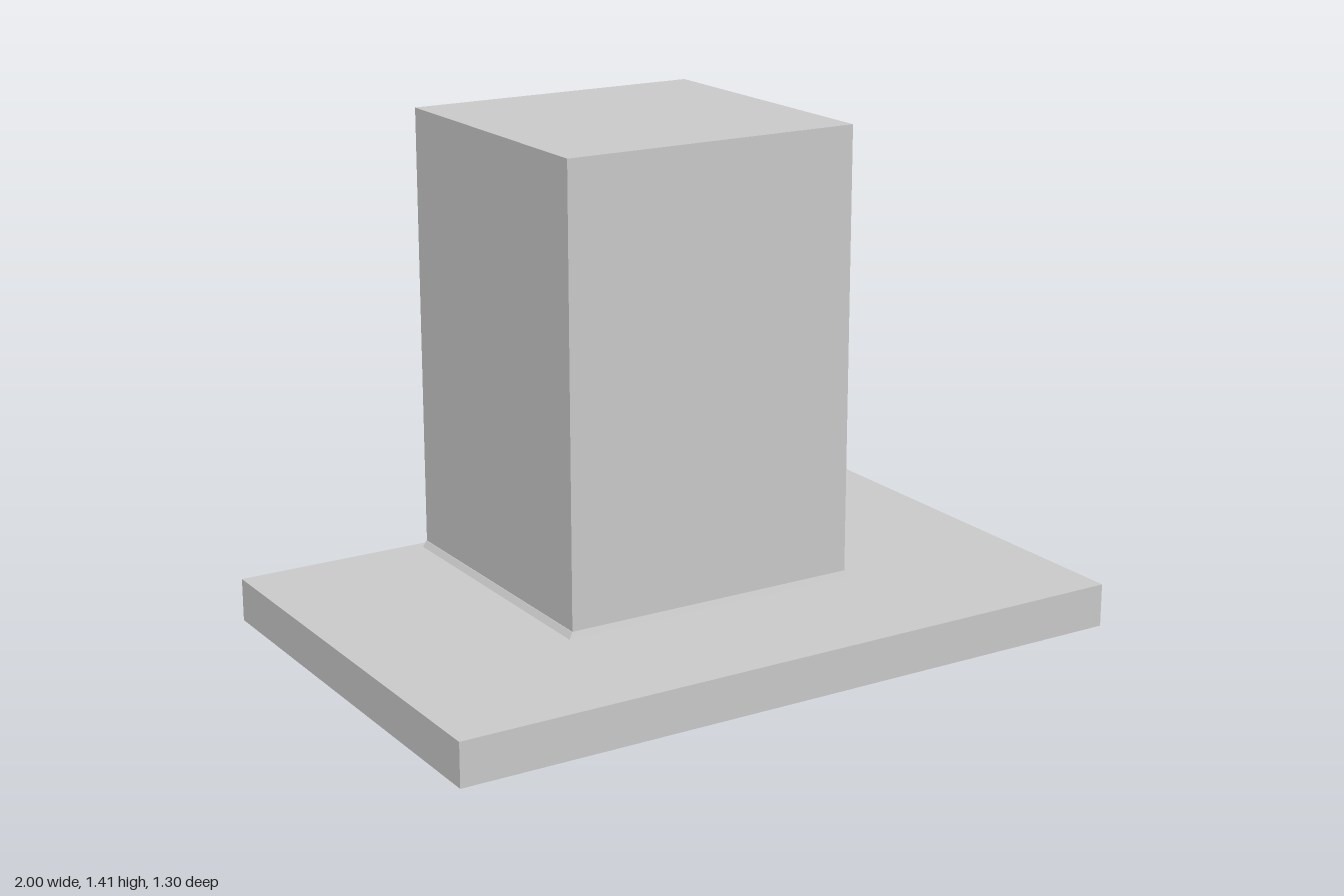
import * as THREE from 'three';

const grey = new THREE.MeshStandardMaterial({ color: 0xcccccc, flatShading: true });
const smooth = new THREE.MeshStandardMaterial({ color: 0xcccccc });

const rectPoints = (x0, x1, z0, z1) => [[x0, z0], [x1, z0], [x1, z1], [x0, z1]].map(([x, z]) => new THREE.Vector2(x, z));

function add(parent, name, geometry, material = grey) {
  const mesh = new THREE.Mesh(geometry, material);
  mesh.name = name;
  parent.add(mesh);
  return mesh;
}

// Box given by its limits on each axis
function block(parent, name, [x0, x1], [y0, y1], [z0, z1]) {
  const mesh = add(parent, name, new THREE.BoxGeometry(x1 - x0, y1 - y0, z1 - z0));
  mesh.position.set((x0 + x1) / 2, (y0 + y1) / 2, (z0 + z1) / 2);
  return mesh;
}

// Horizontal sheet with holes, between two heights
function sheet(parent, name, [x0, x1], [y0, y1], [z0, z1], holes) {
  const shape = new THREE.Shape(rectPoints(x0, x1, z0, z1));
  shape.holes.push(...holes);
  const geometry = new THREE.ExtrudeGeometry(shape, { depth: y1 - y0, bevelEnabled: false, curveSegments: 24 });
  geometry.rotateX(Math.PI / 2).translate(0, y1, 0);
  return add(parent, name, geometry);
}

const rectHole = (...limits) => new THREE.Path(rectPoints(...limits).reverse());

export function createModel() {
  const model = new THREE.Group();
  model.name = 'rangeHood';

  // Canopy slab with a lip around its underside
  block(model, 'canopy', [-1, 1], [0.022, 0.13], [-0.65, 0.65]);
  sheet(model, 'canopyLip', [-1, 1], [0.008, 0.022], [-0.65, 0.65], [rectHole(-0.97, 0.97, -0.62, 0.63)]);

  // Chimney and the sloping collar at its foot
  block(model, 'chimney', [-0.44, 0.434], [0.13, 1.406], [-0.62, 0.218]);
  const collar = new THREE.BoxGeometry(0.9, 0.017, 0.846);
  collar.translate(-0.003, 0.1385, -0.197);
  const p = collar.attributes.position;
  for (let i = 0; i < p.count; i++) {
    if (p.getY(i) < 0.14) continue;
    p.setX(i, p.getX(i) > 0 ? 0.436 : -0.442);
    if (p.getZ(i) > 0) p.setZ(i, 0.22);
  }
  collar.computeVertexNormals();
  add(model, 'chimneyCollar', collar);

  // Front light strip with three spotlights
  const lightX = [-0.57, 0, 0.57], lightZ = 0.49;
  const lightHoles = lightX.map((x) => new THREE.Path().absarc(x, lightZ, 0.04, 0, Math.PI * 2, true));
  sheet(model, 'lightStrip', [-0.965, 0.965], [0.01, 0.022], [0.33, 0.625], lightHoles);
  for (const x of lightX) {
    const light = new THREE.Group();
    light.name = 'spotlight';
    light.position.set(x, 0.011, lightZ);
    const ring = add(light, 'spotlightRing', new THREE.TorusGeometry(0.042, 0.006, 8, 32), smooth);
    ring.rotation.x = Math.PI / 2;
    ring.scale.z = 0.5;
    const lens = add(light, 'spotlightLens', new THREE.CylinderGeometry(0.026, 0.026, 0.008, 24));
    lens.position.y = 0.007;
    model.add(light);
  }

  // Two framed grease filters, each with a pocket latch
  for (const side of [-1, 1]) {
    const filter = new THREE.Group();
    filter.name = side > 0 ? 'leftFilter' : 'rightFilter';
    const cx = side * 0.47;
    const span = (a, b) => [Math.min(side * a, side * b), Math.max(side * a, side * b)];
    const pocket = () => rectHole(cx - 0.045, cx + 0.045, 0.19, 0.3);
    sheet(filter, 'filterFrame', span(0.004, 0.945), [0.01, 0.022], [-0.595, 0.322],
      [rectHole(...span(0.024, 0.925), -0.575, 0.305)]);
    sheet(filter, 'filterPanel', span(0.024, 0.925), [0.013, 0.022], [-0.575, 0.305], [pocket()]);
    sheet(filter, 'latchFrame', [cx - 0.055, cx + 0.055], [0.008, 0.014], [0.18, 0.31], [pocket()]);
    block(filter, 'latchTab', [cx - 0.028, cx + 0.028], [0.004, 0.022], [0.2, 0.3]);
    block(filter, 'latchGrip', [cx - 0.028, cx + 0.028], [0, 0.006], [0.24, 0.3]);
    block(filter, 'latchBar', [cx - 0.075, cx + 0.075], [0.006, 0.012], [0.3, 0.328]);
    model.add(filter);
  }

  return model;
}
